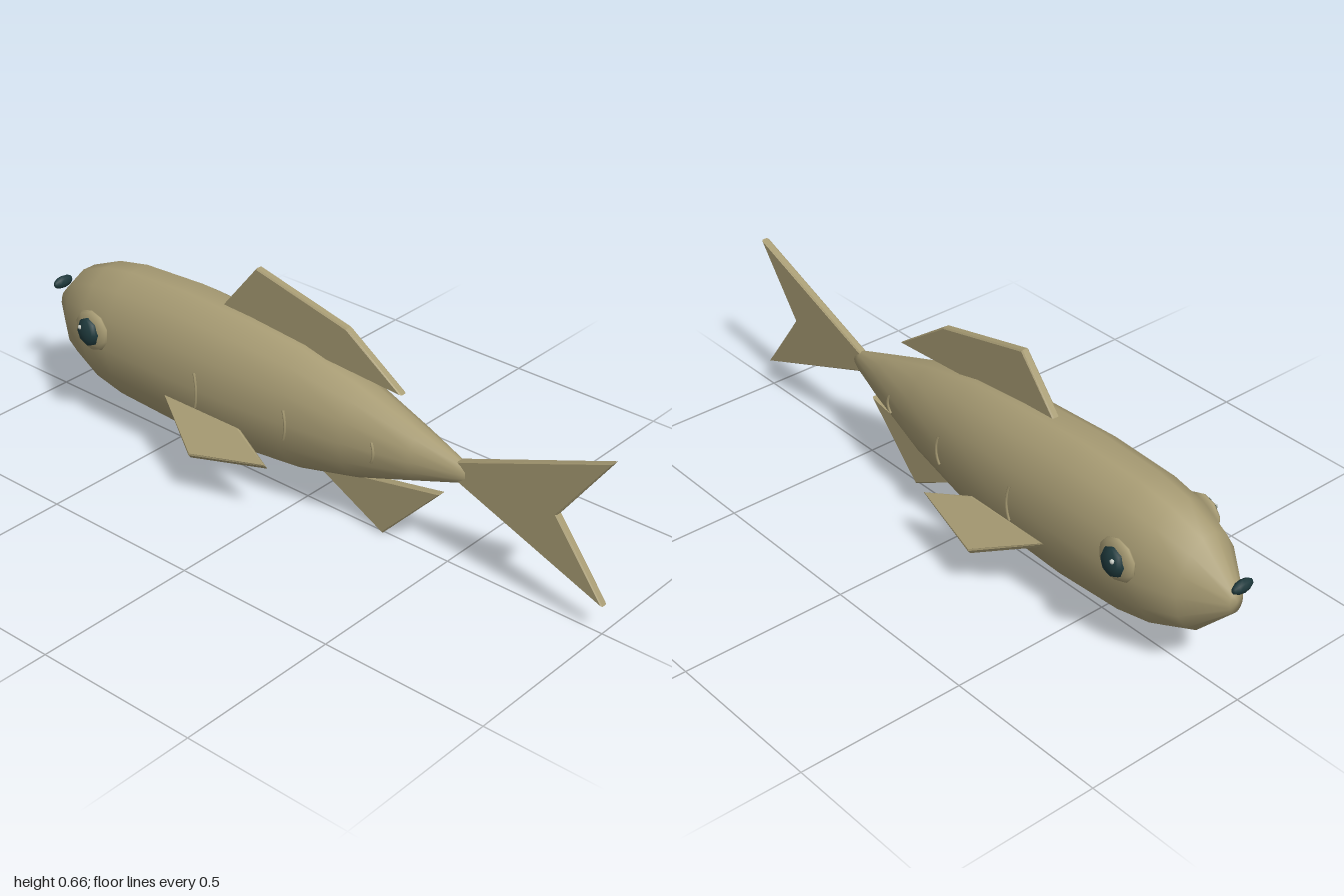
import * as THREE from 'three';

const skin = new THREE.MeshStandardMaterial({ color: 0xa89c74 });
skin.name = 'skin';
const dark = new THREE.MeshStandardMaterial({ color: 0x1f3a3d });
dark.name = 'dark';
const glint = new THREE.MeshStandardMaterial({ color: 0xc8ccc4 });
glint.name = 'glint';

const SIDES = 14;
const MID_Y = 0.297;
// Body stations from nose to tail: z, half width, half height
const STATIONS = [
  [-0.97, 0.024, 0.036], [-0.865, 0.105, 0.146], [-0.76, 0.138, 0.19], [-0.65, 0.15, 0.212],
  [-0.43, 0.153, 0.2235], [-0.2, 0.148, 0.213], [0, 0.133, 0.195], [0.2, 0.104, 0.147],
  [0.4, 0.059, 0.079], [0.53, 0.022, 0.035], [0.555, 0.013, 0.022],
];

function add(parent, name, geometry, material) {
  const mesh = new THREE.Mesh(geometry, material);
  mesh.name = name;
  parent.add(mesh);
  return mesh;
}

// Elliptical rings joined along z, closed with a fan at each end
function bodyGeometry() {
  const pos = [];
  const index = [];
  for (const [z, w, h] of STATIONS) {
    for (let i = 0; i < SIDES; i++) {
      const a = (i / SIDES) * Math.PI * 2;
      pos.push(w * Math.cos(a), MID_Y + h * Math.sin(a), z);
    }
  }
  const last = STATIONS.length - 1;
  const nose = pos.length / 3;
  pos.push(0, MID_Y, STATIONS[0][0] - 0.004, 0, MID_Y, STATIONS[last][0]);
  for (let i = 0; i < SIDES; i++) {
    const j = (i + 1) % SIDES;
    for (let s = 0; s < last; s++) {
      const a = s * SIDES + i, b = s * SIDES + j;
      index.push(a, b, b + SIDES, a, b + SIDES, a + SIDES);
    }
    index.push(nose, j, i, nose + 1, last * SIDES + i, last * SIDES + j);
  }
  const g = new THREE.BufferGeometry();
  g.setAttribute('position', new THREE.Float32BufferAttribute(pos, 3));
  g.setIndex(index);
  g.computeVertexNormals();
  return g;
}

// Bevelled plate outlined in (z, height), thin along x
function finGeometry(points, thickness) {
  const bevel = 0.004;
  const shape = new THREE.Shape(points.map(([z, y]) => new THREE.Vector2(z, y)));
  return new THREE.ExtrudeGeometry(shape, {
    depth: thickness - 2 * bevel,
    bevelThickness: bevel, bevelSize: bevel, bevelOffset: -bevel, bevelSegments: 1,
  }).translate(0, 0, bevel - thickness / 2).rotateY(-Math.PI / 2);
}

function ellipsoid(rx, ry, rz, segments, rings) {
  return new THREE.SphereGeometry(1, segments, rings).rotateZ(Math.PI / 2).scale(rx, ry, rz);
}

export function createModel() {
  const fish = new THREE.Group();
  fish.name = 'fish';
  add(fish, 'body', bodyGeometry(), skin);

  // Fins on the centre line
  add(fish, 'tailFin', finGeometry([[0.52, 0.27], [1, 0.087], [0.845, 0.298], [1, 0.511], [0.52, 0.327]], 0.024), skin);
  add(fish, 'dorsalFin', finGeometry([[0.335, 0.453], [0.145, 0.586], [-0.178, 0.66], [-0.32, 0.49]], 0.024), skin);
  add(fish, 'analFin', finGeometry([[0.475, 0.205], [0.28, 0], [0.04, 0.127], [0.1, 0.135]], 0.024), skin);

  // Mouth bead in front of the nose
  add(fish, 'mouth', ellipsoid(0.036, 0.02, 0.015, 8, 6), dark).position.set(0, 0.352, -0.985);

  for (const side of [1, -1]) {
    const label = side > 0 ? 'left' : 'right';

    // Side fin sloping outward and down
    const fin = add(fish, label + 'PectoralFin',
      finGeometry([[-0.42, 0], [-0.13, 0], [0.015, 0.065], [-0.23, 0.128]], 0.022), skin);
    fin.position.set(side * 0.138, 0.226, 0);
    fin.rotation.z = -side * 2.25;

    // Eye: flattened socket, dark eyeball, small glint
    const eye = new THREE.Group();
    eye.name = label + 'Eye';
    eye.position.set(side * 0.15, 0.345, -0.7);
    add(eye, 'socket', ellipsoid(0.02, 0.064, 0.064, 10, 8), skin);
    add(eye, 'eyeball', ellipsoid(0.026, 0.046, 0.041, 8, 8), dark).position.x = side * 0.012;
    add(eye, 'glint', new THREE.SphereGeometry(0.007, 6, 5), glint).position.set(side * 0.033, 0.017, -0.015);
    fish.add(eye);

    // Curved flank ridges: z, x, half height
    for (const [z, x, h] of [[-0.285, 0.152, 0.055], [0.03, 0.132, 0.046], [0.302, 0.085, 0.031]]) {
      const curve = new THREE.QuadraticBezierCurve3(
        new THREE.Vector3(side * (x - 0.002), MID_Y - h, z - 0.006),
        new THREE.Vector3(side * (x + 0.004), MID_Y, z + 0.012),
        new THREE.Vector3(side * (x - 0.002), MID_Y + h, z - 0.006));
      add(fish, label + 'FlankRidge', new THREE.TubeGeometry(curve, 8, 0.004, 5), skin);
    }
  }
  return fish;
}
